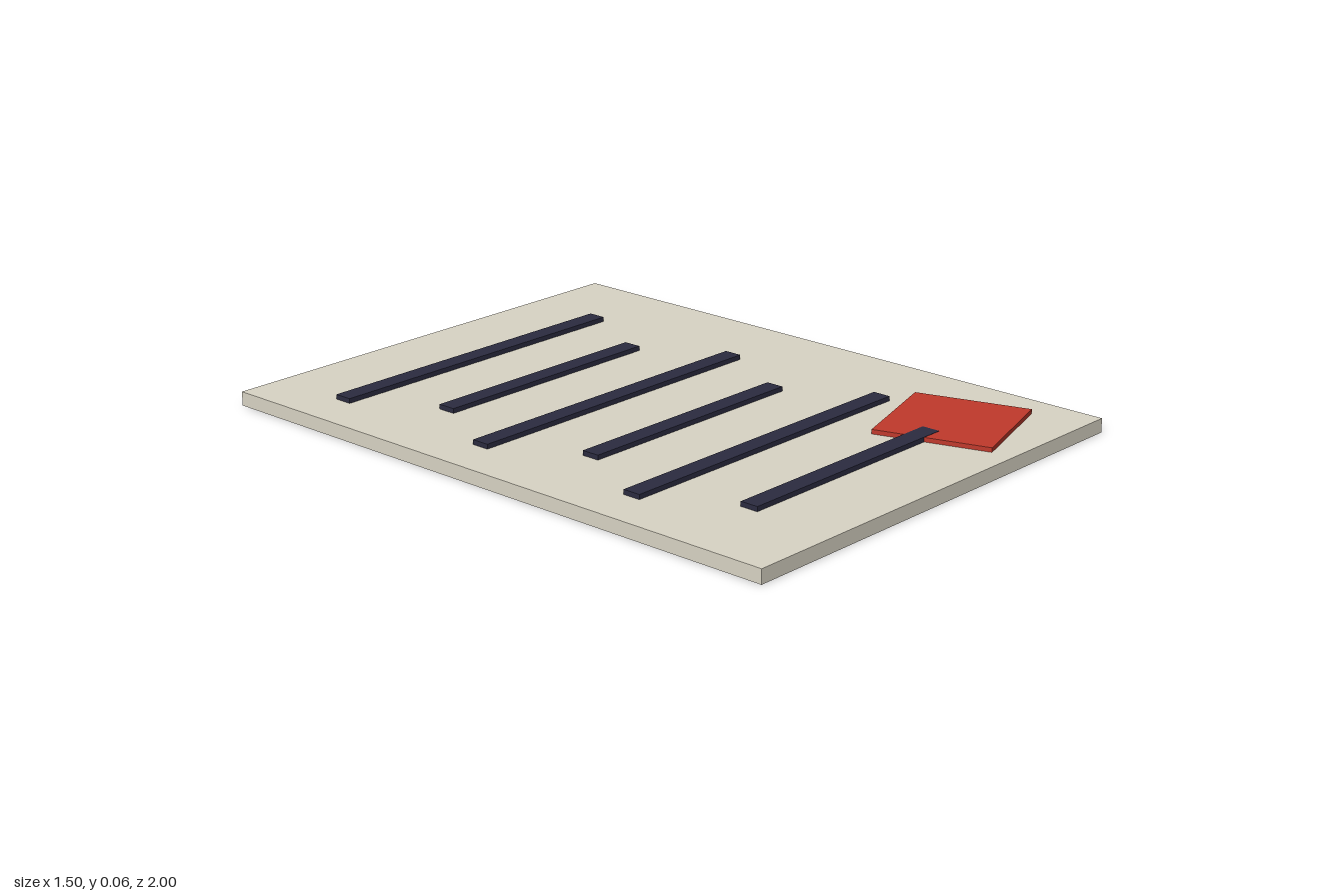
import * as THREE from 'three';

export function createModel() {
  const model = new THREE.Group();
  const paper = new THREE.MeshStandardMaterial({ color: 0xd8d3c4 });
  const ink = new THREE.MeshStandardMaterial({ color: 0x2b2b40 });
  const red = new THREE.MeshStandardMaterial({ color: 0xc0392b });

  const SHEET_TOP = 0.043;

  // Adds a box standing on the given base height
  function addBox(name, material, width, height, depth, x, base, z) {
    const mesh = new THREE.Mesh(new THREE.BoxGeometry(width, height, depth), material);
    mesh.name = name;
    mesh.position.set(x, base + height / 2, z);
    model.add(mesh);
    return mesh;
  }

  // Flat sheet
  addBox('sheet', paper, 1.5, SHEET_TOP, 2, 0, 0, 0);

  // Raised text lines, alternating long and short from back to front
  for (let i = 0; i < 6; i++) {
    const width = i % 2 === 0 ? 1.07 : 0.785;
    addBox(`textLine${i + 1}`, ink, width, 0.0145, 0.057, -0.073, SHEET_TOP, -0.715 + i * 0.286);
  }

  // Tilted square stamp in the front corner, just below the top of the last line
  const stamp = addBox('stamp', red, 0.355, 0.0135, 0.355, 0.426, SHEET_TOP, 0.711);
  stamp.rotation.y = 0.3;

  return model;
}
